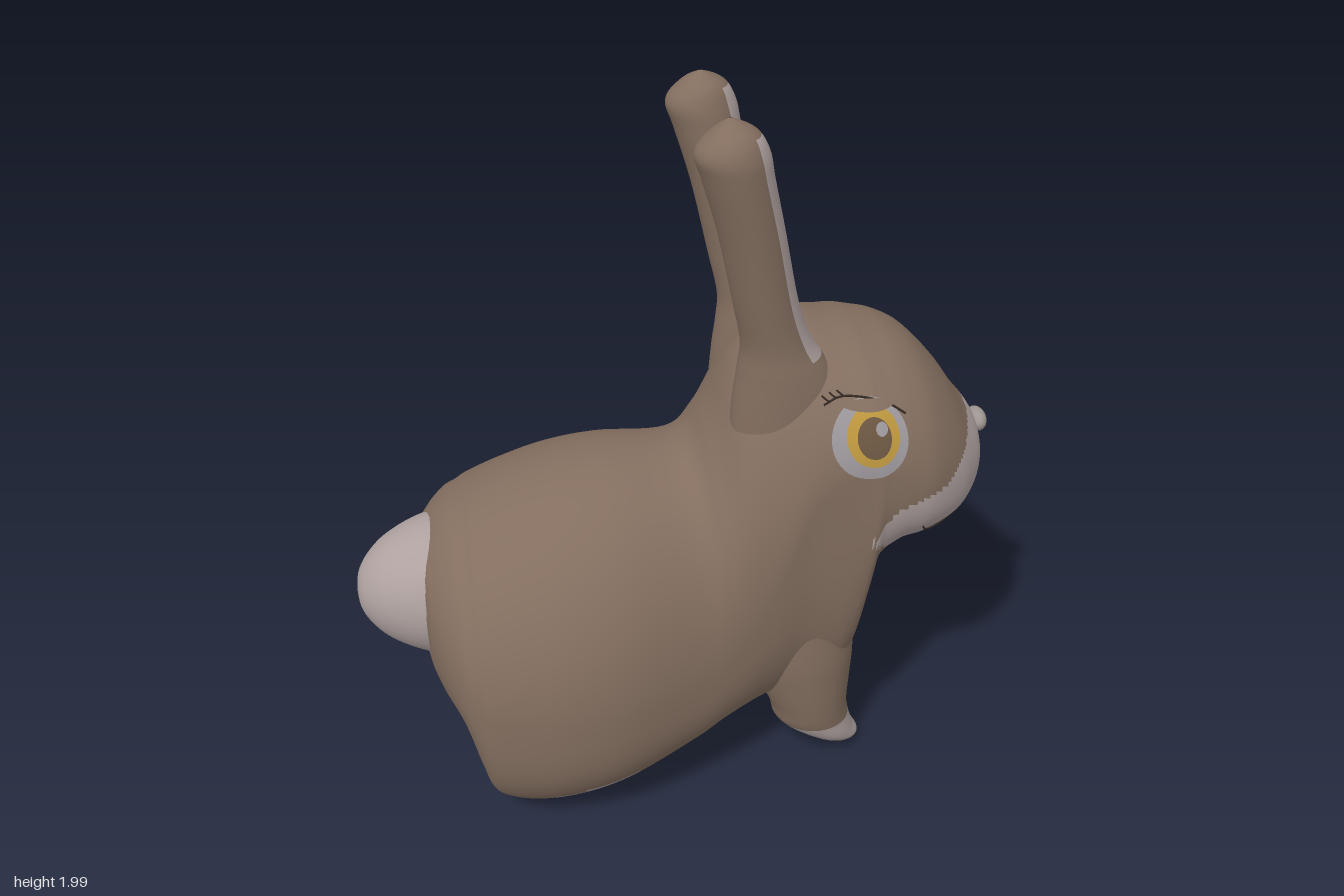
import * as THREE from 'three';

const mat = (name, color, side = THREE.FrontSide) => {
  const m = new THREE.MeshStandardMaterial({ color, side });
  m.name = name;
  return m;
};

// Catmull-Rom blend of a table of rows, u measured in rows
function sampleRow(rows, u) {
  const i = Math.min(Math.floor(u), rows.length - 2), t = u - i;
  const at = k => rows[Math.max(0, Math.min(rows.length - 1, k))];
  return rows[i].map((_, c) => {
    const [a, b, d, e] = [at(i - 1)[c], at(i)[c], at(i + 1)[c], at(i + 2)[c]];
    return b + 0.5 * t * (d - a + t * (2 * a - 5 * b + 4 * d - e + t * (3 * (b - d) + e - a)));
  });
}

// piecewise linear lookup in [[x, y], ...]
function lerpTable(pts, x) {
  for (let i = 1; i < pts.length; i++) {
    const [x0, y0] = pts[i - 1], [x1, y1] = pts[i];
    if (x <= x1) return y0 + (y1 - y0) * Math.max(0, (x - x0) / (x1 - x0));
  }
  return pts[pts.length - 1][1];
}

// closed skin over cross-sections; isPale(centre, angle) picks the second material
function loft(rows, steps, segs, pointAt, isPale) {
  const pos = [], fur = [], pale = [];
  const rings = (rows.length - 1) * steps;
  for (let i = 0; i <= rings; i++) {
    const row = sampleRow(rows, i / steps);
    for (let j = 0; j < segs; j++) pos.push(...pointAt(row, (j / segs) * Math.PI * 2));
  }
  const mid = (a, b, k) => (pos[a * 3 + k] + pos[b * 3 + k]) / 2;
  for (let i = 0; i < rings; i++) {
    for (let j = 0; j < segs; j++) {
      const a = i * segs + j, b = i * segs + (j + 1) % segs, c = a + segs, d = b + segs;
      const centre = [mid(a, d, 0), mid(a, d, 1), mid(a, d, 2)];
      (isPale(centre, ((j + 0.5) / segs) * Math.PI * 2) ? pale : fur).push(a, c, b, b, c, d);
    }
  }
  const g = new THREE.BufferGeometry();
  g.setAttribute('position', new THREE.Float32BufferAttribute(pos, 3));
  g.setIndex(fur.concat(pale));
  g.addGroup(0, fur.length, 0);
  g.addGroup(fur.length, pale.length, 1);
  g.computeVertexNormals();
  return g;
}

// body and head sections: x, bottom, widest level, top, half width
const BODY = [
  [-0.735, 0.6, 0.6, 0.6, 0], [-0.73, 0.42, 0.6, 0.76, 0.18],
  [-0.70, 0.35, 0.56, 0.81, 0.29], [-0.65, 0.29, 0.5, 0.855, 0.385],
  [-0.61, 0.13, 0.46, 0.875, 0.425], [-0.575, 0.04, 0.44, 0.895, 0.45],
  [-0.48, 0.01, 0.42, 0.935, 0.475], [-0.35, 0.02, 0.42, 0.975, 0.49],
  [-0.2, 0.06, 0.42, 1.0, 0.475], [0.0, 0.14, 0.44, 1.01, 0.41],
  [0.08, 0.18, 0.48, 1.1, 0.385], [0.15, 0.2, 0.56, 1.25, 0.365],
  [0.22, 0.21, 0.7, 1.33, 0.35], [0.32, 0.22, 0.95, 1.37, 0.337],
  [0.42, 0.25, 1.04, 1.36, 0.34], [0.47, 0.31, 1.06, 1.355, 0.345],
  [0.495, 0.46, 1.05, 1.35, 0.35], [0.52, 0.63, 1.04, 1.345, 0.35],
  [0.58, 0.715, 1.01, 1.33, 0.35], [0.65, 0.74, 0.98, 1.29, 0.338],
  [0.73, 0.765, 0.95, 1.205, 0.29], [0.79, 0.785, 0.94, 1.12, 0.23],
  [0.85, 0.83, 0.935, 1.04, 0.135], [0.885, 0.93, 0.93, 0.93, 0],
];
// squareness of the lower half along x
const LOWER = [[-0.735, 2], [-0.57, 3], [0.05, 3], [0.25, 3.3], [0.43, 3.4], [0.52, 2.6], [0.8, 2.4], [0.885, 2]];

function bodyPoint([x, yb, ym, yt, hw], a) {
  const c = Math.cos(a), s = Math.sin(a), p = s > 0 ? 2 : lerpTable(LOWER, x);
  const r = (Math.abs(c) ** p + Math.abs(s) ** p) ** (-1 / p);
  return [x, ym + s * r * (s > 0 ? yt - ym : ym - yb), c * r * hw];
}

// half width of the skin at a given side position
function skinZ(x, y) {
  let u = 0;
  while (u < BODY.length - 1.02 && sampleRow(BODY, u)[0] < x) u += 0.02;
  const [, yb, ym, yt, hw] = sampleRow(BODY, u), up = y > ym, p = up ? 2 : lerpTable(LOWER, x);
  const t = Math.min(1, Math.abs(y - ym) / (up ? yt - ym : ym - yb));
  return hw * (1 - t ** p) ** (1 / p);
}

// upper edges of the pale muzzle and belly
const MUZZLE = [[0.48, 0.83], [0.55, 0.94], [0.7, 0.99], [0.78, 1.06], [0.82, 1.085], [0.9, 1.085]];
const BELLY = [[-0.62, 0.03], [-0.55, 0.06], [-0.45, 0.11], [-0.3, 0.16], [0, 0.21], [0.25, 0.26]];

function bodyPale([x, y, z]) {
  const w = Math.abs(z);
  if (x > 0.48 && y > 0.6) return y < lerpTable(MUZZLE, x) && y > 0.83 - (x - 0.48) * 0.75;
  if (x > 0.4) return y < 0.38 && w < (y > 0.33 ? 0.15 : 0.09);
  if (x < -0.68 && Math.hypot(y - 0.61, z) < 0.2) return true;
  if (x < -0.57 && y < 0.29 && w < 0.2) return true;
  return y < lerpTable(BELLY, x) && (x < 0.1 || w < 0.25);
}

// limb sections: y, x from/to, z from/to
const EAR = [
  [1.1, 0.12, 0.44, 0.03, 0.25], [1.22, 0.13, 0.43, 0.03, 0.25], [1.3, 0.14, 0.39, 0.035, 0.245],
  [1.38, 0.145, 0.335, 0.055, 0.237], [1.5, 0.12, 0.29, 0.075, 0.245], [1.7, 0.075, 0.245, 0.085, 0.265],
  [1.85, 0.03, 0.21, 0.095, 0.28], [1.92, 0.01, 0.195, 0.105, 0.28], [1.97, 0.05, 0.165, 0.13, 0.25],
  [2.0, 0.095, 0.105, 0.18, 0.185],
];
const LEG = [
  [0.03, 0.475, 0.48, 0.18, 0.185], [0.037, 0.42, 0.53, 0.13, 0.24], [0.08, 0.35, 0.51, 0.1, 0.28],
  [0.14, 0.27, 0.492, 0.09, 0.3], [0.2, 0.25, 0.482, 0.09, 0.31], [0.3, 0.21, 0.485, 0.085, 0.318],
  [0.42, 0.17, 0.49, 0.07, 0.32], [0.65, 0.15, 0.48, 0.05, 0.3],
];
const limbPoint = side => ([y, x0, x1, z0, z1], a) => [
  (x0 + x1) / 2 + Math.cos(a) * (x1 - x0) / 2, y,
  side * (z0 + z1) / 2 + Math.sin(a) * (z1 - z0) / 2,
];

// tail outline: distance behind the rump, radius
const TAIL = [[0, 0.205], [0.05, 0.198], [0.11, 0.175], [0.17, 0.14], [0.215, 0.095], [0.24, 0.05], [0.247, 0]];

export function createModel() {
  const fur = mat('brown fur', 0x836e5f, THREE.DoubleSide);
  const pale = mat('pale fur', 0xaea19f);
  const eyeGrey = mat('eye grey', 0x9c979b, THREE.DoubleSide);
  const gold = mat('iris gold', 0xbd973f, THREE.DoubleSide);
  const pupilBrown = mat('pupil brown', 0x6b5641, THREE.DoubleSide);
  const dark = mat('lash dark', 0x352a24);
  const noseGrey = mat('nose grey', 0x9d9591);

  const model = new THREE.Group();
  const add = (name, geometry, material) => {
    const m = new THREE.Mesh(geometry, material);
    m.name = name;
    model.add(m);
    return m;
  };

  add('body', loft(BODY, 8, 128, bodyPoint, bodyPale), [fur, pale]);

  const outline = new THREE.SplineCurve(TAIL.map(([d, r]) => new THREE.Vector2(r, d))).getPoints(24);
  const tail = add('tail', new THREE.LatheGeometry(outline, 40), pale);
  tail.rotation.z = Math.PI / 2;
  tail.position.set(-0.667, 0.615, 0);

  const nose = add('nose', new THREE.SphereGeometry(1, 24, 16), noseGrey);
  nose.scale.set(0.028, 0.033, 0.046);
  nose.position.set(0.882, 0.987, 0);

  const tube = (pts, r) => new THREE.TubeGeometry(
    new THREE.CatmullRomCurve3(pts.map(p => new THREE.Vector3(...p))), 20, r, 6);
  add('mouthSlit', tube([[0.882, 0.9, 0], [0.868, 0.86, 0], [0.845, 0.82, 0], [0.8, 0.785, 0]], 0.016), pupilBrown);

  for (const side of [1, -1]) {
    const label = side > 0 ? 'near' : 'far';
    add(label + 'Ear', loft(EAR, 6, 64, limbPoint(side),
      ([, y], a) => y > 1.34 && y < 1.96 && Math.cos(a) > 0.6), [fur, pale]);
    add(label + 'FrontLeg', loft(LEG, 6, 40, limbPoint(side), ([, y]) => y < 0.135), [fur, pale]);

    // eye discs wrapped on the head
    const disc = (name, x, y, rx, ry, lift, material) => {
      const g = new THREE.RingGeometry(0.001, 1, 40, 6);
      const p = g.attributes.position;
      for (let i = 0; i < p.count; i++) {
        const px = x + p.getX(i) * rx, py = y + p.getY(i) * ry;
        p.setXYZ(i, px, py, side * (skinZ(px, py) + lift));
      }
      g.computeVertexNormals();
      add(label + name, g, material);
    };
    disc('EyeWhite', 0.46, 1.15, 0.102, 0.102, 0.004, eyeGrey);
    disc('Iris', 0.467, 1.16, 0.07, 0.076, 0.007, gold);
    disc('Pupil', 0.468, 1.16, 0.045, 0.052, 0.01, pupilBrown);
    disc('EyeGlint', 0.487, 1.185, 0.016, 0.017, 0.013, eyeGrey);
    disc('Eyelid', 0.462, 1.237, 0.07, 0.014, 0.012, fur);

    // lash line, lashes and smile drawn on the skin
    const stroke = (name, pts, r) =>
      add(label + name, tube(pts.map(([x, y, out = 0.005]) => [x, y, side * (skinZ(x, y) + out)]), r), dark);
    stroke('LashLine', [[0.345, 1.235], [0.39, 1.253], [0.46, 1.25], [0.52, 1.23], [0.56, 1.205]], 0.003);
    [[0.36, 1.243], [0.38, 1.25], [0.4, 1.254]].forEach(([x, y], i) =>
      stroke('Lash' + (i + 1), [[x, y], [x - 0.01, y + 0.008, 0.012], [x - 0.02, y + 0.018, 0.02]], 0.0025));
    stroke('Smile', [[0.625, 0.865], [0.64, 0.84], [0.68, 0.822], [0.73, 0.817], [0.77, 0.824]], 0.0025);
  }
  return model;
}
